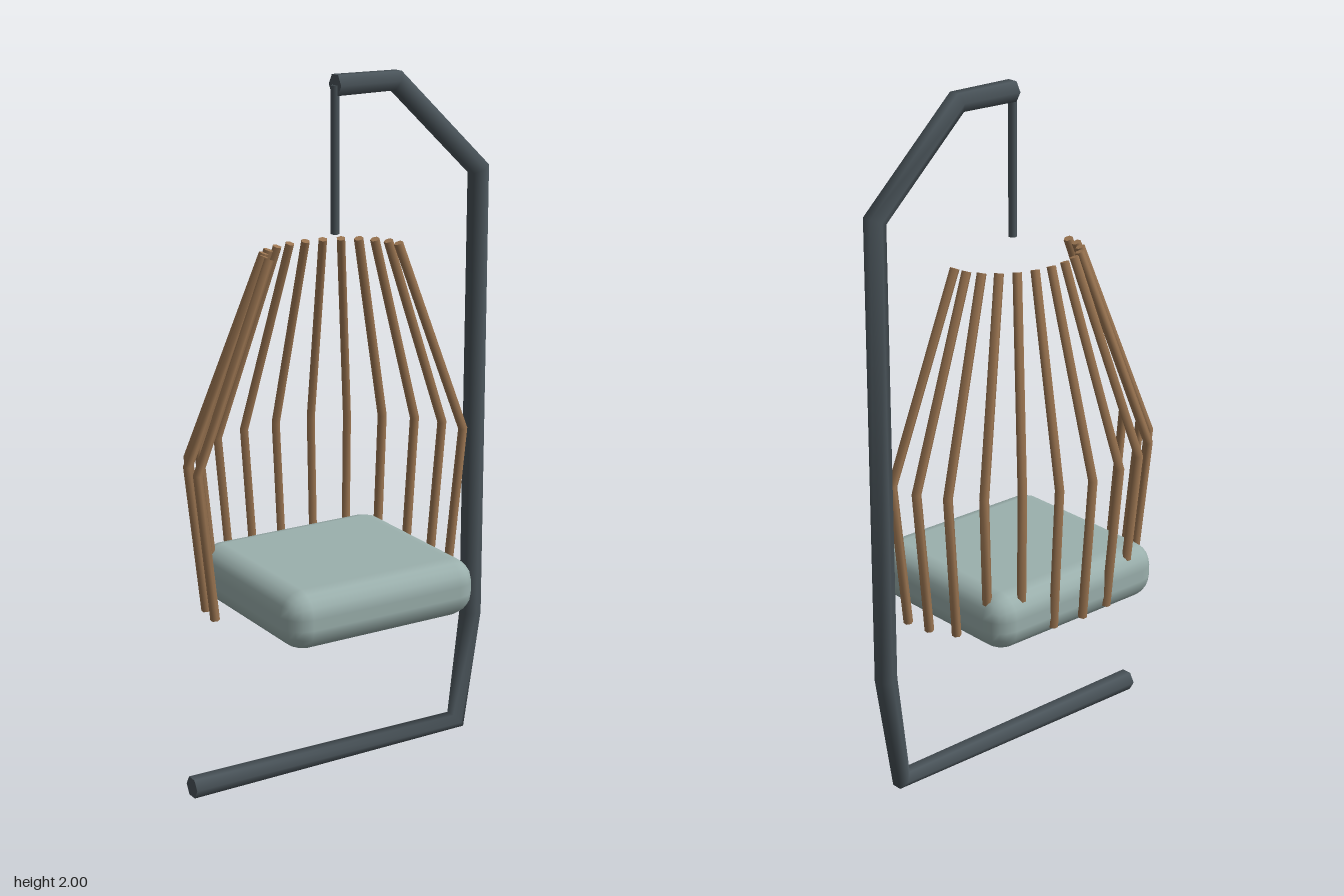
import * as THREE from 'three';
import { mergeGeometries } from 'three/addons/utils/BufferGeometryUtils.js';
import { RoundedBoxGeometry } from 'three/addons/geometries/RoundedBoxGeometry.js';

// Straight runs between points, with one ring per point on the averaged direction
class BentPath extends THREE.Curve {
  constructor(points) {
    super();
    this.points = points;
  }
  getPoint(t, target = new THREE.Vector3()) {
    const n = this.points.length - 1;
    const i = Math.min(Math.floor(t * n + 1e-6), n - 1);
    return target.lerpVectors(this.points[i], this.points[i + 1], t * n - i);
  }
  getPointAt(u, target) {
    return this.getPoint(u, target);
  }
  getTangentAt(u, target = new THREE.Vector3()) {
    const p = this.points;
    const i = Math.round(u * (p.length - 1));
    target.set(0, 0, 0);
    if (i > 0) target.add(p[i].clone().sub(p[i - 1]).normalize());
    if (i < p.length - 1) target.add(p[i + 1].clone().sub(p[i]).normalize());
    return target.normalize();
  }
}

// Six-sided bent tube with closed ends
function bentTube(points, radius) {
  const sides = 6;
  const segments = points.length - 1;
  const tube = new THREE.TubeGeometry(new BentPath(points), segments, radius, sides, false);
  const pos = tube.attributes.position;
  const caps = [0, segments].map((ring) => {
    const corners = [];
    for (let j = 0; j < sides; j++) {
      corners.push(new THREE.Vector3().fromBufferAttribute(pos, ring * (sides + 1) + j));
    }
    if (ring) corners.reverse();
    const cap = new THREE.BufferGeometry().setFromPoints(corners);
    const index = [];
    for (let j = 1; j < sides - 1; j++) index.push(0, j, j + 1);
    cap.setIndex(index);
    cap.computeVertexNormals();
    return cap;
  });
  tube.deleteAttribute('uv');
  return mergeGeometries([tube, ...caps]);
}

export function createModel() {
  const metal = new THREE.MeshStandardMaterial({ color: 0x4a545a });
  metal.name = 'dark grey metal';
  const wood = new THREE.MeshStandardMaterial({ color: 0x9c7652 });
  wood.name = 'brown cane';
  const fabric = new THREE.MeshStandardMaterial({ color: 0x9bb0ad });
  fabric.name = 'pale sage fabric';

  const model = new THREE.Group();
  model.name = 'hangingChair';
  const CX = -0.017; // hanging axis
  const CZ = 0.03;

  const add = (parent, name, geometry, material) => {
    const mesh = new THREE.Mesh(geometry, material);
    mesh.name = name;
    parent.add(mesh);
    return mesh;
  };

  // Stand: floor bar, leaning post and overhead arm in one bent tube
  const standPoints = [
    [-0.49, 0.031], [0.41, 0.031], [0.457, 0.37],
    [0.457, 1.705], [0.176, 1.973], [CX, 1.973],
  ].map(([x, y]) => new THREE.Vector3(x, y, CZ));
  add(model, 'stand', bentTube(standPoints, 0.032), metal);

  // Hanging rod
  const rod = add(model, 'hangingRod', new THREE.CylinderGeometry(0.012, 0.012, 0.405, 6), metal);
  rod.position.set(CX, 1.77, CZ);

  // Seat cushion
  const cushion = add(model, 'seatCushion', new RoundedBoxGeometry(0.616, 0.167, 0.575, 2, 0.068), fabric);
  cushion.position.set(CX, 0.567, CZ - 0.003);

  // Basket back: bent canes on a half ellipse
  const back = new THREE.Group();
  back.name = 'basketBack';
  model.add(back);
  const profile = [[0.39, 0.52], [0.436, 0.947], [0.207, 1.52]];
  const count = 13;
  for (let i = 0; i < count; i++) {
    const a = (i / (count - 1)) * Math.PI;
    const points = profile.map(([r, y]) =>
      new THREE.Vector3(CX + r * Math.cos(a), y, CZ - 0.76 * r * Math.sin(a)));
    add(back, `cane${i + 1}`, bentTube(points, 0.0135), wood);
  }

  return model;
}
